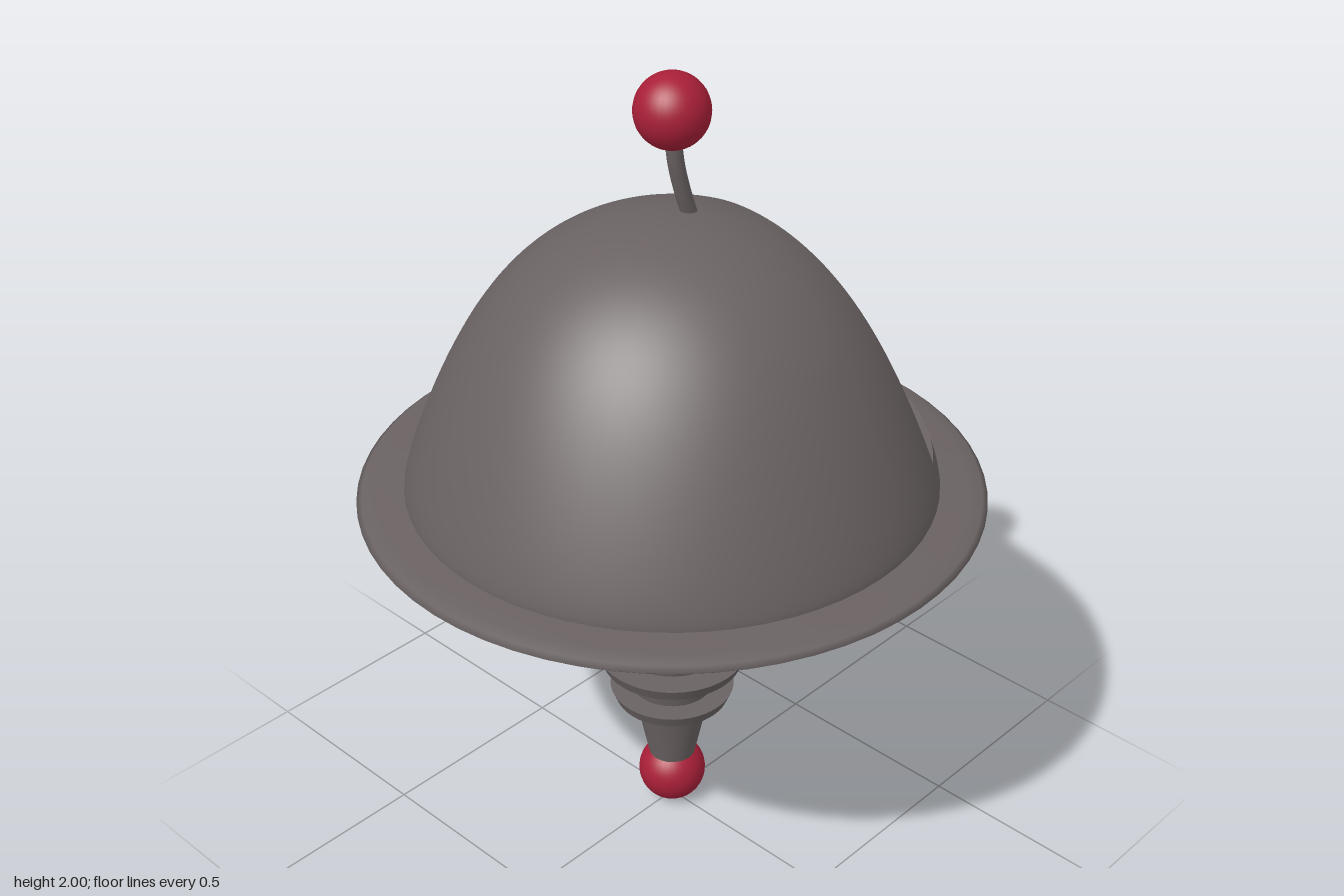
import * as THREE from 'three';
import { ParametricGeometry } from 'three/addons/geometries/ParametricGeometry.js';

const metal = new THREE.MeshStandardMaterial({ color: 0x6a6262, side: THREE.DoubleSide });
const red = new THREE.MeshStandardMaterial({ color: 0xa81f38 });

const BASE = 1.0, TOP = 1.665;                 // dome heights
const SILL = 1.08, ARCH = 1.617;               // hatch recess heights
const WIN = { y0: 1.18, y1: 1.525, a0: 0.18, a1: 0.47 };
const HATCH_DEPTH = 0.04, WINDOW_DEPTH = 0.068;

// Dome radius at a height, and the outward slope of its profile
function domeRadius(y) {
  const t = Math.max(0, (y - BASE) / (TOP - BASE));
  return 0.635 * Math.sqrt(Math.max(0, 1 - t ** (1.25 + 0.6 * t * t)));
}
function profileNormal(y) {
  const h = 4e-4;
  const slope = (domeRadius(y + h) - domeRadius(y - h)) / (2 * h);
  return new THREE.Vector2(1, -slope).normalize();
}

// Half angle of the hatch: where a leaning plane cuts the dome
function hatchAngle(y) {
  const x = 0.35 - 0.235 * (y - SILL);
  return Math.max(0.01, Math.acos(Math.min(1, x / Math.max(domeRadius(y), 1e-6))));
}

// Point on the dome, sunk inward by depth
function domePoint(y, angle, depth, target) {
  const n = profileNormal(y);
  const r = Math.max(0, domeRadius(y) - depth * n.x);
  return target.set(r * Math.cos(angle), y - depth * n.y, -r * Math.sin(angle));
}

export function createModel() {
  const model = new THREE.Group();
  const add = (name, geometry, material = metal, parent = model) => {
    const mesh = new THREE.Mesh(geometry, material);
    mesh.name = name;
    parent.add(mesh);
    return mesh;
  };
  const group = (name) => {
    const g = new THREE.Group();
    g.name = name;
    model.add(g);
    return g;
  };
  const dome = group('dome'), hatch = group('hatch'), windows = group('windows');

  // Patch of the dome between two heights and two angle limits, smooth across seams
  function skin(parent, name, y0, y1, from, to, depth, nu, nv, ease = false) {
    const height = (v) => y1 - (y1 - y0) * (ease ? (1 - v) ** 2 : 1 - v);
    const angle = (u, y) => from(y) + (to(y) - from(y)) * u;
    const geo = new ParametricGeometry((u, v, p) => {
      const y = height(v);
      domePoint(y, angle(u, y), depth, p);
    }, nu, nv);
    const { uv, normal } = geo.attributes;
    for (let i = 0; i < uv.count; i++) {
      const y = height(uv.getY(i)), a = angle(uv.getX(i), y), n = profileNormal(y);
      normal.setXYZ(i, n.x * Math.cos(a), n.y, -n.x * Math.sin(a));
    }
    add(name, geo, metal, parent);
  }

  // Wall of a recess: an edge path (height, angle) swept from one depth to another
  function wall(parent, name, path, d0, d1, n) {
    add(name, new ParametricGeometry((u, v, p) => {
      const [y, a] = path(u);
      domePoint(y, a, d0 + (d1 - d0) * v, p);
    }, n, 1), metal, parent);
  }

  // Dome shell, open where the hatch is sunk
  const k = (value) => () => value;
  const turn = Math.PI * 2;
  const rest = (y) => turn - hatchAngle(y);
  skin(dome, 'domeSkirt', BASE - 0.01, SILL, k(0), k(turn), 0, 64, 4);
  skin(dome, 'domeShell', SILL, ARCH, hatchAngle, rest, 0, 64, 40, true);
  skin(dome, 'domeCap', ARCH, TOP, k(0), k(turn), 0, 64, 12, true);

  // Hatch surface around the two windows
  const left = hatchAngle, right = (y) => -hatchAngle(y);
  skin(hatch, 'hatchLower', SILL, WIN.y0, right, left, HATCH_DEPTH, 32, 4);
  skin(hatch, 'hatchUpper', WIN.y1, ARCH, right, left, HATCH_DEPTH, 32, 16, true);
  skin(hatch, 'hatchMiddle', WIN.y0, WIN.y1, k(-WIN.a0), k(WIN.a0), HATCH_DEPTH, 8, 12);
  skin(hatch, 'hatchLeft', WIN.y0, WIN.y1, k(WIN.a1), left, HATCH_DEPTH, 8, 12);
  skin(hatch, 'hatchRight', WIN.y0, WIN.y1, right, k(-WIN.a1), HATCH_DEPTH, 8, 12);

  // Hatch rim walls
  for (const s of [-1, 1]) {
    wall(hatch, 'hatchSideWall', (u) => {
      const y = ARCH - (ARCH - SILL) * (1 - u) ** 2;
      return [y, s * hatchAngle(y)];
    }, 0, HATCH_DEPTH, 40);
  }
  wall(hatch, 'hatchSill', (u) => [SILL, (2 * u - 1) * hatchAngle(SILL)], 0, HATCH_DEPTH, 32);

  // Sunken windows
  for (const s of [-1, 1]) {
    const lo = s > 0 ? WIN.a0 : -WIN.a1, hi = s > 0 ? WIN.a1 : -WIN.a0;
    skin(windows, 'windowPane', WIN.y0, WIN.y1, k(lo), k(hi), WINDOW_DEPTH, 8, 12);
    for (const a of [lo, hi]) {
      wall(windows, 'windowJamb', (u) => [WIN.y0 + (WIN.y1 - WIN.y0) * u, a],
        HATCH_DEPTH, WINDOW_DEPTH, 12);
    }
    for (const y of [WIN.y0, WIN.y1]) {
      wall(windows, 'windowLedge', (u) => [y, lo + (hi - lo) * u], HATCH_DEPTH, WINDOW_DEPTH, 8);
    }
  }

  // Turned parts
  const lathe = (name, points) =>
    add(name, new THREE.LatheGeometry(points.map(([r, y]) => new THREE.Vector2(r, y)), 64));
  lathe('brim', [[0.56, 0.948], [0.7, 0.956], [0.735, 0.963], [0.748, 0.974],
    [0.735, 0.984], [0.7, 0.99], [0.6, 0.998]]);
  const bowl = new THREE.SplineCurve([[0.155, 0.65], [0.2, 0.67], [0.29, 0.723],
    [0.39, 0.8], [0.49, 0.885], [0.575, 0.952]].map(([x, y]) => new THREE.Vector2(x, y)));
  add('lowerBowl', new THREE.LatheGeometry(bowl.getPoints(24), 64));

  // Tapered stem with three collars
  const stem = add('stem', new THREE.CylinderGeometry(0.163, 0.058, 0.52, 48));
  stem.position.y = 0.4;
  [[0.577, 0.225], [0.463, 0.19], [0.352, 0.157]].forEach(([y, r]) => {
    add('stemCollar', new THREE.CylinderGeometry(r, r - 0.013, 0.032, 48)).position.y = y;
  });

  // Bent antenna and the two end balls
  const bend = new THREE.CatmullRomCurve3([[0.065, 1.63], [0.035, 1.71], [0.012, 1.79],
    [0, 1.88]].map(([x, y]) => new THREE.Vector3(x, y, 0)));
  add('antenna', new THREE.TubeGeometry(bend, 20, 0.019, 16));
  add('antennaBall', new THREE.SphereGeometry(0.086, 32, 24), red).position.y = 1.914;
  add('stemBall', new THREE.SphereGeometry(0.086, 32, 24), red).position.y = 0.086;

  return model;
}
